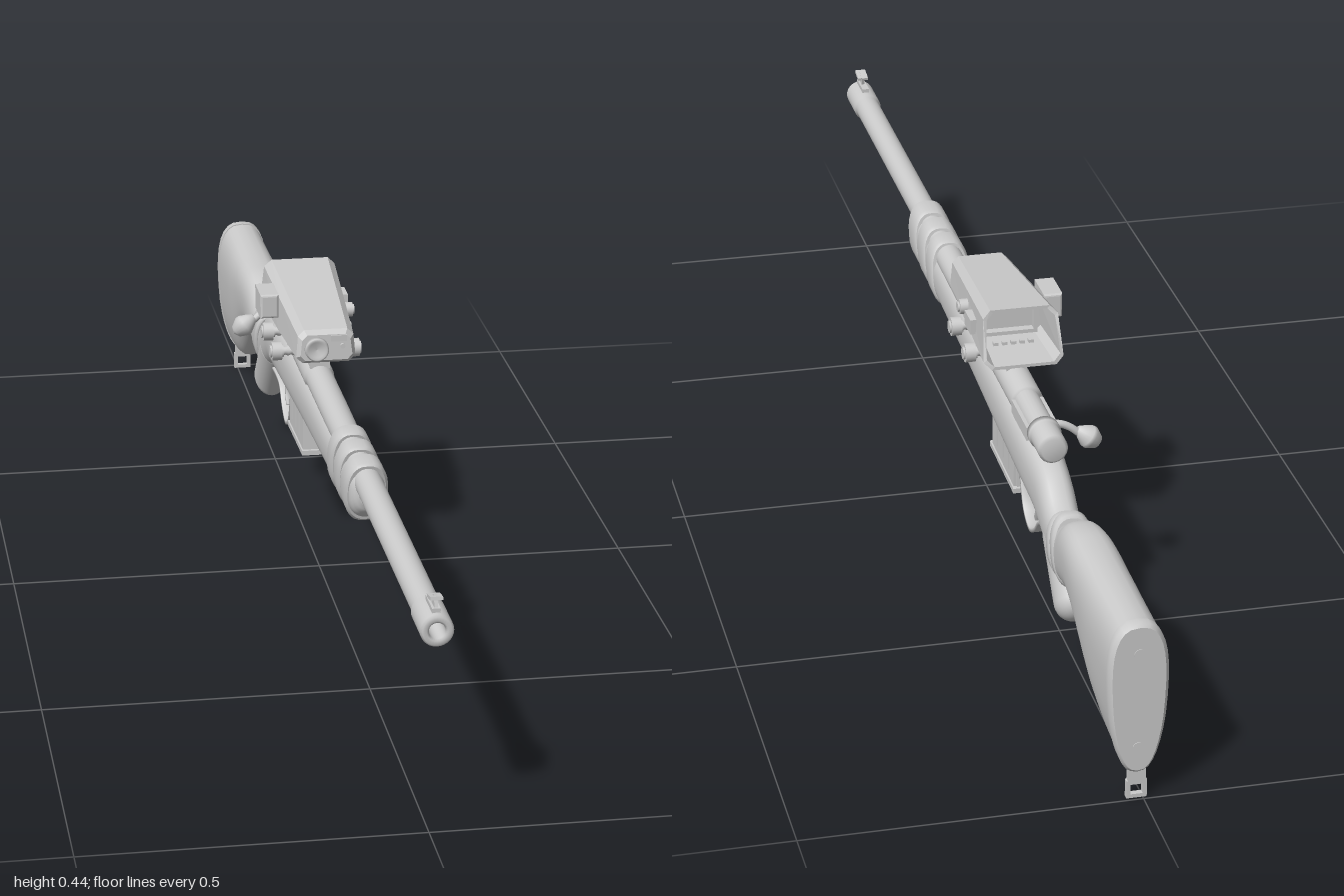
import * as THREE from 'three';

const grey = new THREE.MeshStandardMaterial({ color: 0xcccccc, side: THREE.DoubleSide });
const flatGrey = new THREE.MeshStandardMaterial({ color: 0xcccccc, flatShading: true, side: THREE.DoubleSide });

function add(parent, name, geo, pos = [0, 0, 0], rot = [0, 0, 0], mat = grey) {
  const m = new THREE.Mesh(geo, mat);
  m.name = name;
  m.position.set(...pos);
  m.rotation.set(...rot);
  parent.add(m);
  return m;
}
const box = (w, h, d) => new THREE.BoxGeometry(w, h, d);
const cyl = (r, l, n = 20) => new THREE.CylinderGeometry(r, r, l, n);
const ALONG_X = [0, 0, Math.PI / 2];
const ALONG_Z = [Math.PI / 2, 0, 0];

// Skin over rings of points running from front (+z) to rear, closed at both ends
function skin(rings) {
  const n = rings[0].length, pos = [], idx = [];
  rings.forEach(r => r.forEach(p => pos.push(p.x, p.y, p.z)));
  for (let i = 0; i < rings.length - 1; i++) for (let j = 0; j < n; j++) {
    const a = i * n + j, b = i * n + (j + 1) % n;
    idx.push(a, a + n, b, b, a + n, b + n);
  }
  [rings[0], rings[rings.length - 1]].forEach((ring, rear) => {
    const s = pos.length / 3, c = new THREE.Vector3();
    ring.forEach(p => { pos.push(p.x, p.y, p.z); c.addScaledVector(p, 1 / n); });
    pos.push(c.x, c.y, c.z);
    for (let j = 0; j < n; j++) {
      const k = (j + 1) % n;
      idx.push(s + n, s + (rear ? k : j), s + (rear ? j : k));
    }
  });
  const g = new THREE.BufferGeometry();
  g.setAttribute('position', new THREE.Float32BufferAttribute(pos, 3));
  g.setIndex(idx);
  g.computeVertexNormals();
  return g;
}

// Egg-shaped section: taper widens the upper half and narrows the lower
function oval(z, top, bottom, hw, taper = 0, shear = 0, n = 32) {
  return Array.from({ length: n }, (_, j) => {
    const t = j / n * Math.PI * 2, c = Math.cos(t), s = Math.sin(t);
    const x = hw * Math.sign(c) * Math.abs(c) ** 0.75 * (1 + taper * s);
    const h = Math.sign(s) * Math.abs(s) ** 0.85 * (top - bottom) / 2;
    return new THREE.Vector3(x, (top + bottom) / 2 + h, z + shear * h);
  });
}

// Raised band that wraps around an oval section, with bevelled edges
function band(parent, name, z, w, top, bottom, hw, shear) {
  const rings = [[0.5, -0.004], [0.4, 0], [-0.4, 0], [-0.5, -0.004]].map(([k, d]) =>
    oval(z + k * w, top + d, bottom - d, hw + d, 0, shear));
  add(parent, name, skin(rings));
}

// Box section with cut corners; zT and zB let the end slope
function octagon(zT, zB, top, bottom, hwT, hwB, c) {
  return [[hwB, bottom + c], [hwT, top - c], [hwT - c, top], [c - hwT, top],
    [-hwT, top - c], [-hwB, bottom + c], [c - hwB, bottom], [hwB - c, bottom]]
    .map(([x, y]) => new THREE.Vector3(x, y, zB + (zT - zB) * (y - bottom) / (top - bottom)));
}

// Lathe about the z axis from [radius, z] pairs
const turned = (pts, n = 28) =>
  new THREE.LatheGeometry(pts.map(p => new THREE.Vector2(...p)), n).rotateX(Math.PI / 2);

// Flat strip bent along a side-on path of [z, y] points
function strip(path, thick, width) {
  const curve = new THREE.CatmullRomCurve3(path.map(([z, y]) => new THREE.Vector3(0, y, z)));
  const rings = curve.getSpacedPoints(36).map((p, i) => {
    const t = curve.getTangentAt(i / 36), o = new THREE.Vector3(0, t.z, -t.y).multiplyScalar(thick / 2);
    return [[1, -1], [1, 1], [-1, 1], [-1, -1]].map(([sx, so]) =>
      new THREE.Vector3(sx * width / 2, p.y + so * o.y, p.z + so * o.z));
  });
  return skin(rings);
}

function buildStock(g) {
  // z, top, bottom, half width, taper
  const rows = [
    [0.432, 0.312, 0.272, 0.016, 0], [0.425, 0.32, 0.258, 0.024, 0], [0.40, 0.322, 0.244, 0.029, 0],
    [0.30, 0.318, 0.237, 0.029, 0], [0.20, 0.308, 0.232, 0.029, 0], [0, 0.304, 0.222, 0.030, 0],
    [-0.15, 0.304, 0.214, 0.032, 0], [-0.30, 0.302, 0.206, 0.034, 0], [-0.40, 0.295, 0.197, 0.033, 0],
    [-0.47, 0.284, 0.186, 0.030, 0], [-0.51, 0.270, 0.172, 0.029, 0], [-0.55, 0.243, 0.158, 0.028, 0],
    [-0.585, 0.234, 0.148, 0.028, 0], [-0.62, 0.248, 0.150, 0.031, 0], [-0.655, 0.270, 0.157, 0.035, 0.05],
    [-0.70, 0.279, 0.162, 0.038, 0.1], [-0.75, 0.28, 0.142, 0.040, 0.15], [-0.80, 0.28, 0.104, 0.041, 0.18],
    [-0.85, 0.28, 0.073, 0.042, 0.2], [-0.91, 0.28, 0.055, 0.042, 0.2], [-0.982, 0.28, 0.046, 0.042, 0.2]];
  const a = new THREE.CatmullRomCurve3(rows.map(r => new THREE.Vector3(r[0], r[1], r[2])), false, 'catmullrom');
  const b = new THREE.CatmullRomCurve3(rows.map(r => new THREE.Vector3(r[3], r[4], 0)), false, 'catmullrom');
  const N = (rows.length - 1) * 4;
  add(g, 'stock', skin(Array.from({ length: N + 1 }, (_, i) => {
    const p = a.getPoint(i / N), q = b.getPoint(i / N);
    return oval(p.x, p.y, p.z, q.x, q.y);
  })));

  // Pistol grip bulb, leaning down and back
  const grip = new THREE.CapsuleGeometry(0.03, 0.105, 10, 24);
  grip.scale(0.95, 1, 1.25);
  add(g, 'pistolGrip', grip, [0, 0.153, -0.58], [0.75, 0, 0]);
  [-0.588, -0.612].forEach((z, i) =>
    band(g, 'wristWrap', z, 0.018, 0.243 + i * 0.011, 0.146, 0.033, 0.25));

  // Butt plate, screws and rear sling loop
  add(g, 'buttPlate', skin([oval(-0.98, 0.282, 0.042, 0.043, 0.2),
    oval(-0.994, 0.282, 0.042, 0.043, 0.2), oval(-0.999, 0.277, 0.047, 0.038, 0.2)]));
  for (const y of [0.235, 0.085]) add(g, 'buttScrew', cyl(0.008, 0.004), [0, y, -0.998], ALONG_Z);
  add(g, 'slingPlate', box(0.026, 0.03, 0.01), [0, 0.037, -0.99]);
  add(g, 'slingScrew', cyl(0.006, 0.004), [0, 0.034, -0.984], ALONG_Z);
  for (const s of [-1, 1]) add(g, 'slingLoopSide', box(0.006, 0.028, 0.009), [s * 0.012, 0.014, -0.99]);
  add(g, 'slingLoopBottom', box(0.03, 0.006, 0.009), [0, 0.003, -0.99]);

  // Fore-end wraps and front sling loop
  [[0.385, 0.05], [0.315, 0.044], [0.25, 0.04]].forEach(([z, w]) =>
    band(g, 'foreEndWrap', z, w, 0.335, 0.234 - (0.385 - z) * 0.06, 0.0335, 0.22));
  add(g, 'frontSlingLoop', new THREE.TorusGeometry(0.011, 0.0025, 8, 20), [0, 0.219, 0.285], [0, 0, 0]);
}

function buildAction(g) {
  // Barrel with bore and muzzle sleeve
  const barrel = add(g, 'barrel', turned([[0, 0.9], [0.012, 0.9], [0.012, 0.998], [0.015, 1], [0.021, 1], [0.024, 0.997],
    [0.024, 0.925], [0.021, 0.92], [0.021, 0.4], [0.0225, 0.1], [0.0225, -0.05], [0.025, -0.06],
    [0.025, -0.32], [0, -0.32]].reverse()));
  barrel.position.y = 0.306;
  // Front sight
  add(g, 'sightRamp', box(0.012, 0.008, 0.05), [0, 0.332, 0.965]);
  add(g, 'sightBlade', box(0.005, 0.018, 0.022), [0, 0.342, 0.975], [-0.3, 0, 0]);
  add(g, 'sightCap', box(0.018, 0.005, 0.028), [0, 0.349, 0.978], [-0.2, 0, 0]);
  // Bolt, receiver bridge and rear shroud
  add(g, 'bolt', cyl(0.02, 0.17), [0, 0.306, -0.39], ALONG_Z);
  add(g, 'receiverBridge', box(0.05, 0.022, 0.1), [0, 0.3, -0.37]);
  add(g, 'boltShroud', turned([[0, -0.492], [0.018, -0.492], [0.023, -0.487], [0.023, -0.44],
    [0.0255, -0.437], [0.0255, -0.425], [0, -0.425]]), [0, 0.305, 0]);
  // Bolt handle on the right
  const arm = new THREE.CatmullRomCurve3([[-0.01, 0.308], [-0.03, 0.307], [-0.045, 0.3], [-0.06, 0.288]]
    .map(([x, y]) => new THREE.Vector3(x, y, -0.41)));
  add(g, 'boltArm', new THREE.TubeGeometry(arm, 16, 0.006, 12));
  add(g, 'boltKnob', new THREE.LatheGeometry([[0, -0.021], [0.011, -0.016], [0.0185, -0.002], [0.018, 0.004],
    [0.012, 0.015], [0.006, 0.024], [0, 0.024]].map(p => new THREE.Vector2(...p)), 20),
    [-0.076, 0.28, -0.41], [0, 0, -0.9]);

  // Magazine with ribs and floor lip
  add(g, 'magazine', box(0.028, 0.085, 0.148), [0, 0.185, -0.217], [-0.03, 0, 0]);
  add(g, 'magazineFloor', box(0.033, 0.008, 0.164), [0, 0.144, -0.217], [-0.03, 0, 0]);
  add(g, 'magazineSpine', box(0.02, 0.075, 0.008), [0, 0.185, -0.293]);
  for (const s of [-1, 1]) for (let i = 0; i < 3; i++)
    add(g, 'magazineRib', box(0.004, 0.045, 0.006), [s * 0.0145, 0.185, -0.18 - i * 0.04]);

  // Trigger guard and trigger
  add(g, 'triggerGuard', strip([[-0.305, 0.205], [-0.318, 0.17], [-0.34, 0.13], [-0.375, 0.115], [-0.41, 0.13],
    [-0.44, 0.157], [-0.48, 0.162], [-0.54, 0.158]], 0.006, 0.02));
  add(g, 'trigger', strip([[-0.395, 0.205], [-0.403, 0.18], [-0.403, 0.16], [-0.392, 0.14]], 0.008, 0.01));
  add(g, 'guardPlate', box(0.024, 0.008, 0.16), [0, 0.2, -0.375], [-0.1, 0, 0]);
}

function buildScope(g) {
  // Tapered housing, open and recessed at the rear
  add(g, 'scopeHousing', skin([
    octagon(0.016, 0.018, 0.404, 0.362, 0.039, 0.042, 0.008),
    octagon(0.008, 0.01, 0.411, 0.356, 0.045, 0.048, 0.01),
    octagon(-0.13, -0.13, 0.426, 0.354, 0.052, 0.056, 0.011),
    octagon(-0.27, -0.3, 0.441, 0.354, 0.059, 0.063, 0.012),
    octagon(-0.27, -0.3, 0.436, 0.359, 0.054, 0.058, 0.011),
    octagon(-0.19, -0.19, 0.428, 0.361, 0.048, 0.052, 0.01)]).toNonIndexed(), [0, 0, 0], [0, 0, 0], flatGrey);
  // Screen and its frame inside the hood
  add(g, 'screen', box(0.07, 0.042, 0.006), [0, 0.396, -0.192]);
  for (const s of [-1, 1]) {
    add(g, 'screenFrameSide', box(0.006, 0.056, 0.014), [s * 0.041, 0.395, -0.197]);
    add(g, 'screenFrameRail', box(0.088, 0.006, 0.014), [0, 0.395 + s * 0.026, -0.197]);
  }
  for (let i = 0; i < 5; i++) add(g, 'screenButton', box(0.008, 0.005, 0.008), [-0.028 + i * 0.014, 0.363, -0.225]);
  // Front face: lens, slot and button
  add(g, 'frontLens', turned([[0, 0.021], [0.013, 0.023], [0.016, 0.026], [0.019, 0.024], [0.02, 0.01], [0, 0.01]].reverse()),
    [-0.016, 0.381, 0]);
  add(g, 'frontSlot', box(0.026, 0.01, 0.006), [0.02, 0.398, 0.016]);
  add(g, 'frontButton', cyl(0.004, 0.008, 14), [0.026, 0.385, 0.017], ALONG_Z);
  // Side battery box, dial and side button
  add(g, 'batteryBox', new THREE.ExtrudeGeometry(new THREE.Shape([[-0.011, -0.016], [0.011, -0.016], [0.011, 0.016], [-0.011, 0.016]]
    .map(p => new THREE.Vector2(...p))), { depth: 0.058, bevelSize: 0.004, bevelThickness: 0.004, bevelSegments: 3 }),
    [-0.07, 0.405, -0.195]);
  add(g, 'sideDial', cyl(0.012, 0.02), [0.057, 0.392, -0.14], ALONG_X);
  add(g, 'sideDialCap', cyl(0.008, 0.026), [0.057, 0.392, -0.14], ALONG_X);
  add(g, 'sidePanel', box(0.014, 0.024, 0.04), [0.06, 0.392, -0.2]);

  // Mount: rail, saddle and two threaded clamp rods
  add(g, 'mountRail', box(0.032, 0.014, 0.2), [0, 0.331, -0.15]);
  add(g, 'mountSaddle', box(0.07, 0.012, 0.17), [0, 0.349, -0.15]);
  for (const z of [-0.1, -0.2]) {
    const pts = [];
    for (let i = 0; i <= 24; i++) pts.push(new THREE.Vector2(i % 2 ? 0.0085 : 0.0065, -0.06 + i * 0.005));
    add(g, 'clampRod', new THREE.LatheGeometry(pts, 14), [0, 0.34, z], ALONG_X);
    for (const s of [-1, 1]) {
      add(g, 'clampKnob', cyl(0.015, 0.016), [s * 0.064, 0.34, z], ALONG_X);
      add(g, 'clampKnobCap', cyl(0.01, 0.022), [s * 0.064, 0.34, z], ALONG_X);
      add(g, 'clampJaw', box(0.012, 0.022, 0.03), [s * 0.026, 0.338, z]);
    }
  }
}

export function createModel() {
  const model = new THREE.Group();
  model.name = 'scopedRifle';
  for (const [name, build] of [['stockGroup', buildStock], ['actionGroup', buildAction], ['scopeGroup', buildScope]]) {
    const g = new THREE.Group();
    g.name = name;
    g.position.x = 0.009;
    build(g);
    model.add(g);
  }
  return model;
}
